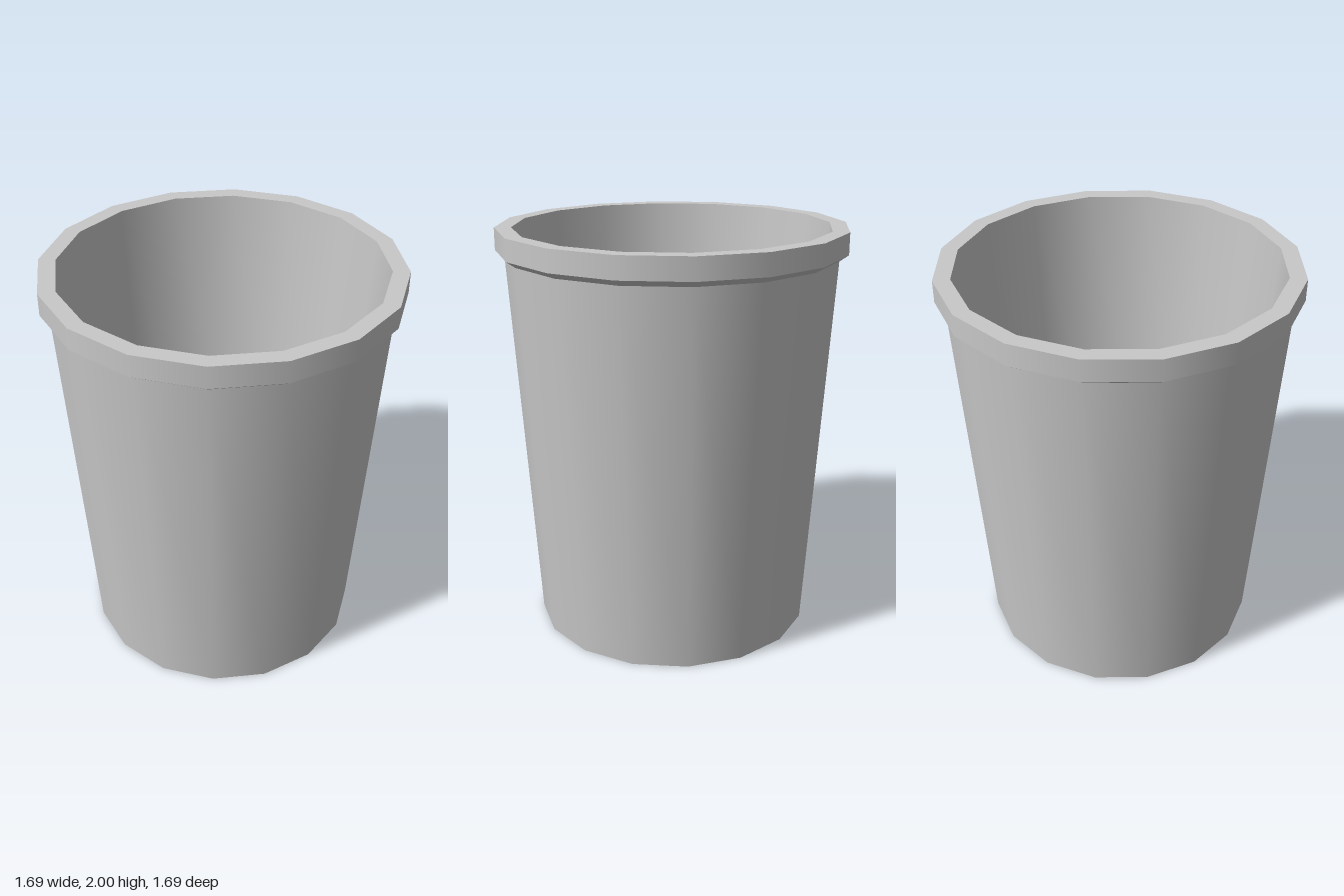
import * as THREE from 'three';

const SIDES = 16;

export function createModel() {
  const group = new THREE.Group();
  group.name = 'bucket';
  const grey = new THREE.MeshStandardMaterial({ color: 0xc8c8c8 });
  grey.name = 'light grey';

  // Each band is its own lathe: smooth around, sharp where bands meet
  const band = (name, from, to) => {
    const points = [from, to].map(([r, y]) => new THREE.Vector2(r, y));
    const mesh = new THREE.Mesh(new THREE.LatheGeometry(points, SIDES), grey);
    mesh.name = name;
    group.add(mesh);
  };

  // Closed profile from the underside centre, up the outside, down the inside
  const profile = [
    ['floorUnderside', [0, 0.4]],
    ['footRecess', [0.69, 0.4]],
    ['outerWall', [0.687, 0]],
    ['rimUnderside', [0.802, 1.865]],
    ['rimSide', [0.845, 1.895]],
    ['rimTop', [0.845, 2]],
    ['innerWall', [0.765, 2]],
    ['floor', [0.66, 0.43]],
    ['end', [0, 0.43]],
  ];
  for (let i = 0; i < profile.length - 1; i++) {
    band(profile[i][0], profile[i][1], profile[i + 1][1]);
  }
  return group;
}
